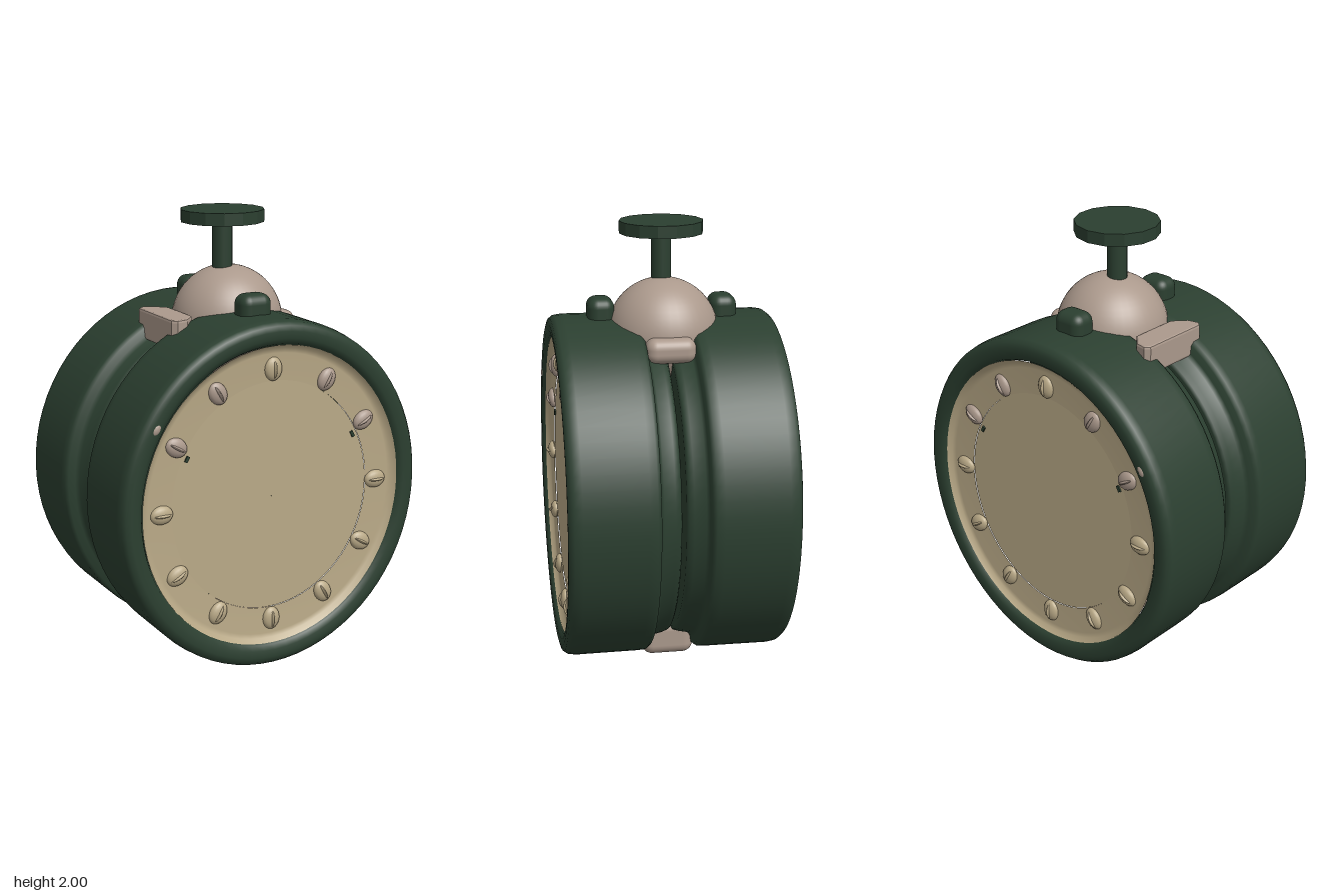
import * as THREE from 'three';
import { RoundedBoxGeometry } from 'three/addons/geometries/RoundedBoxGeometry.js';

const mat = (name, color, side = THREE.FrontSide) => {
  const m = new THREE.MeshStandardMaterial({ color, side });
  m.name = name;
  return m;
};

export function createModel() {
  const green = mat('dark green', 0x2b3f30);
  const beige = mat('beige', 0xb9a987);
  const pink = mat('dusty pink', 0xab998c);
  const model = new THREE.Group();
  model.name = 'casterWheel';

  const CY = 0.793; // axle height
  const SY = 1.06; // wheels are slightly taller than wide

  const add = (parent, name, geometry, material, x = 0, y = 0, z = 0) => {
    const mesh = new THREE.Mesh(geometry, material);
    mesh.name = name;
    mesh.position.set(x, y, z);
    parent.add(mesh);
    return mesh;
  };

  // Turned ring around the z axle, from [radius, z] pairs
  const turned = (points) =>
    new THREE.LatheGeometry(points.map(([r, z]) => new THREE.Vector2(r, z)), 72)
      .rotateX(Math.PI / 2).scale(1, SY, 1);

  const tyre = turned([
    [0.001, 0.01], [0.645, 0.01], [0.66, 0.018], [0.668, 0.04], [0.678, 0.09],
    [0.695, 0.103], [0.725, 0.108], [0.738, 0.125], [0.74, 0.16], [0.741, 0.44],
    [0.736, 0.475], [0.722, 0.494], [0.7, 0.5], [0.67, 0.498], [0.648, 0.488], [0.637, 0.465],
  ]);
  const border = turned([[0.642, 0.482], [0.625, 0.463], [0.605, 0.458], [0.49, 0.452]]);
  const cover = turned([[0.49, 0.449], [0.001, 0.449]]);
  const bolt = new THREE.SphereGeometry(1, 16, 12);

  // Two mirrored wheels
  for (const turn of [0, Math.PI]) {
    const wheel = new THREE.Group();
    wheel.name = turn ? 'backWheel' : 'frontWheel';
    wheel.position.y = CY;
    wheel.rotation.y = turn;
    model.add(wheel);
    add(wheel, 'tyre', tyre, green);
    add(wheel, 'coverBorder', border, beige);
    add(wheel, 'cover', cover, beige);

    // Ring of twelve ridged bolts
    for (let i = 0; i < 12; i++) {
      const a = (i * Math.PI) / 6;
      const material = [1, 2, 10, 11].includes(i) ? pink : beige;
      const group = new THREE.Group();
      group.name = 'bolt';
      group.position.set(0.54 * Math.sin(a), 0.573 * Math.cos(a), 0.455);
      group.rotation.z = -a;
      wheel.add(group);
      add(group, 'boltHead', bolt, material).scale.set(0.042, 0.053, 0.025);
      add(group, 'boltRidge', bolt, material).scale.set(0.01, 0.046, 0.034);
    }

    // Small dark notches on the cover
    for (const s of [-1, 1]) {
      const notch = add(wheel, 'notch', new THREE.BoxGeometry(0.014, 0.028, 0.008), green, s * 0.415, 0.227, 0.452);
      notch.rotation.z = s * 0.5;
    }

    // Lug on top of the wheel
    add(wheel, 'lug', new RoundedBoxGeometry(0.15, 0.14, 0.12, 4, 0.045), green, 0, 0.802, 0.275);
  }

  // Worn spots on the rims
  for (const s of [-1, 1]) {
    const spot = add(model, 'rimSpot', bolt, pink, -0.577, 1.18, s * 0.492);
    spot.scale.set(0.018, 0.028, 0.012);
    spot.rotation.z = -0.6;
  }

  // Swivel housing between the wheels
  add(model, 'housingDome', new THREE.SphereGeometry(0.25, 40, 28), pink, 0.025, 1.5, -0.003);
  add(model, 'housingEnd', new RoundedBoxGeometry(0.22, 0.11, 0.22, 4, 0.045), pink, 0.22, 1.475, 0);
  add(model, 'housingFoot', new RoundedBoxGeometry(0.34, 0.17, 0.24, 4, 0.05), pink, 0.05, 0.085, 0);

  // Brake tab, flaring outwards
  const tab = new THREE.Shape([
    [-0.22, -0.11], [-0.27, -0.165], [-0.315, -0.175], [-0.33, -0.16],
    [-0.33, 0.16], [-0.315, 0.175], [-0.27, 0.165], [-0.22, 0.11],
  ].map(([x, z]) => new THREE.Vector2(x, z)));
  const tabGeometry = new THREE.ExtrudeGeometry(tab, {
    depth: 0.11, bevelEnabled: true, bevelSize: 0.008, bevelThickness: 0.012, bevelSegments: 2,
  }).rotateX(-Math.PI / 2);
  add(model, 'brakeTab', tabGeometry, pink, 0, 1.435, 0);

  // Mounting stem and plate
  add(model, 'stem', new THREE.CylinderGeometry(0.045, 0.045, 0.28, 16), green, 0, 1.83, 0);
  const plate = new THREE.CylinderGeometry(0.188, 0.188, 0.055, 14).toNonIndexed();
  plate.computeVertexNormals();
  add(model, 'mountingPlate', plate, green, 0, 1.9725, 0);

  return model;
}
